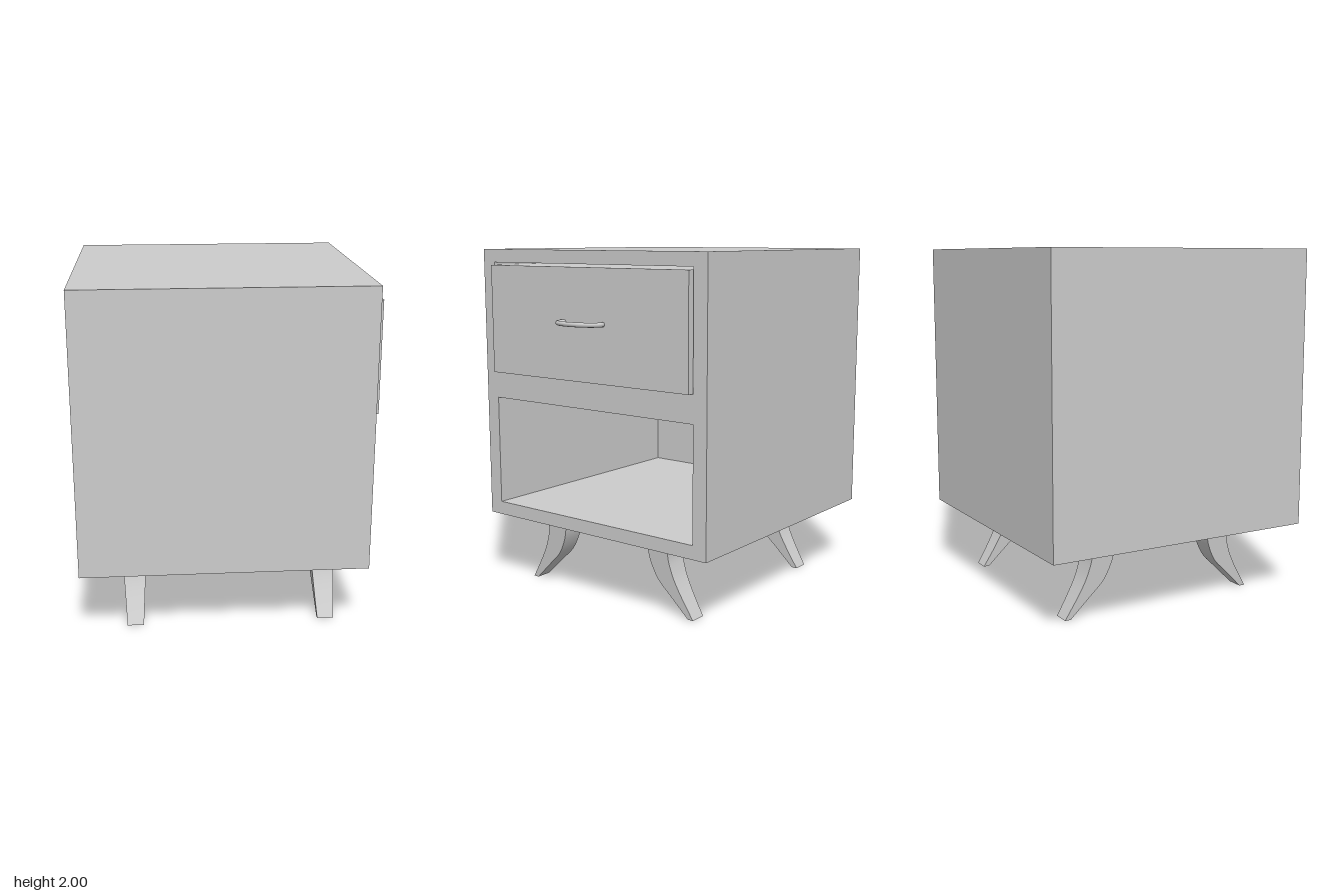
import * as THREE from 'three';
import { toCreasedNormals } from 'three/addons/utils/BufferGeometryUtils.js';

const material = new THREE.MeshStandardMaterial({ color: 0xcccccc });

function add(parent, name, geometry, x = 0, y = 0, z = 0) {
  const mesh = new THREE.Mesh(geometry, material);
  mesh.name = name;
  mesh.position.set(x, y, z);
  parent.add(mesh);
  return mesh;
}

// Rectangular outline centred on x = 0
function rect(path, halfWidth, y0, y1) {
  path.moveTo(-halfWidth, y0);
  path.lineTo(halfWidth, y0);
  path.lineTo(halfWidth, y1);
  path.lineTo(-halfWidth, y1);
  path.closePath();
  return path;
}

// Splayed leg: side profile in (z, y), extruded along x and tapered to the foot
function legGeometry() {
  const v = (x, y) => new THREE.Vector2(x, y);
  const outer = new THREE.SplineCurve([v(0.452, 0.412), v(0.453, 0.33), v(0.468, 0.27), v(0.492, 0.205), v(0.537, 0.12), v(0.61, 0)]);
  const inner = new THREE.SplineCurve([v(0.575, 0), v(0.457, 0.115), v(0.38, 0.19), v(0.337, 0.27), v(0.316, 0.34), v(0.31, 0.412)]);
  const shape = new THREE.Shape([...outer.getPoints(12), ...inner.getPoints(12)]);
  const geometry = new THREE.ExtrudeGeometry(shape, { depth: 1, bevelEnabled: false });
  geometry.translate(0, 0, -0.5);
  geometry.rotateY(-Math.PI / 2);
  const p = geometry.attributes.position;
  for (let i = 0; i < p.count; i++) {
    p.setX(i, p.getX(i) * THREE.MathUtils.lerp(0.095, 0.146, p.getY(i) / 0.412));
  }
  geometry.deleteAttribute('normal');
  return toCreasedNormals(geometry, 0.6);
}

export function createModel() {
  const model = new THREE.Group();
  model.name = 'bedsideCabinet';

  // Carcass: frame with a drawer bay above an open shelf bay
  const frame = rect(new THREE.Shape(), 0.805, 0.412, 2);
  frame.holes.push(rect(new THREE.Path(), 0.718, 0.49, 1.13));
  frame.holes.push(rect(new THREE.Path(), 0.718, 1.285, 1.925));
  const carcass = new THREE.ExtrudeGeometry(frame, { depth: 1.53, bevelEnabled: false });
  carcass.rotateY(Math.PI / 2);
  add(model, 'carcass', carcass, -0.8);
  add(model, 'backPanel', new THREE.BoxGeometry(0.08, 1.588, 1.61), -0.84, 1.206, 0);

  // Drawer standing slightly proud of the carcass
  const drawer = new THREE.Group();
  drawer.name = 'drawer';
  model.add(drawer);
  add(drawer, 'drawerBody', new THREE.BoxGeometry(1.562, 0.624, 1.424), -0.019, 1.598, 0);

  // Bow handle
  const side = [[0.755, 0.135], [0.775, 0.15], [0.8, 0.147], [0.835, 0.115], [0.857, 0.06]];
  const points = [
    ...side.map(([x, z]) => new THREE.Vector3(x, 0, z)),
    new THREE.Vector3(0.863, 0, 0),
    ...side.map(([x, z]) => new THREE.Vector3(x, 0, -z)).reverse(),
  ];
  add(drawer, 'handle', new THREE.TubeGeometry(new THREE.CatmullRomCurve3(points), 40, 0.013, 10), 0, 1.61, 0);

  // Four legs, splayed toward both sides
  const leg = legGeometry();
  for (const x of [-0.583, 0.528]) {
    for (const turn of [0, Math.PI]) {
      add(model, 'leg', leg, x).rotation.y = turn;
    }
  }
  return model;
}
